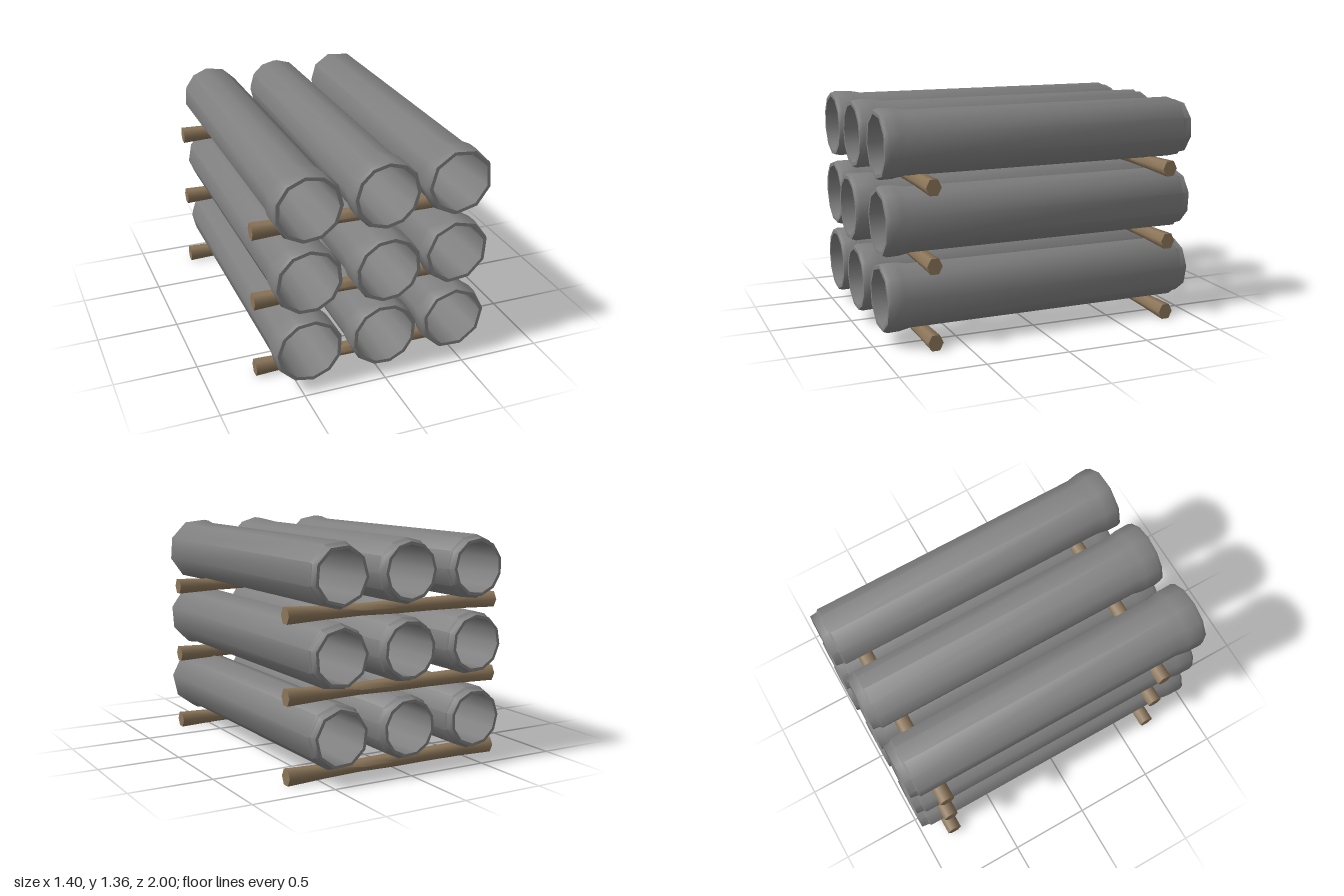
import * as THREE from 'three';
import { toCreasedNormals } from 'three/addons/utils/BufferGeometryUtils.js';

const concrete = new THREE.MeshStandardMaterial({ color: 0x808080 });
concrete.name = 'concrete grey';
const wood = new THREE.MeshStandardMaterial({ color: 0x8c765a });
wood.name = 'wood brown';

// Hollow pipe along z: flared collar at the front, narrow spigot at the back
function pipeGeometry(front, back, sides, turn) {
  const profile = [
    [0.174, front], [0.15, back], [0.168, back], [0.174, back + 0.045],
    [0.187, back + 0.055], [0.19, 0.78], [0.203, 0.85],
    [0.205, front - 0.025], [0.195, front], [0.174, front],
  ].map(([r, y]) => new THREE.Vector2(r, y));
  const geometry = new THREE.LatheGeometry(profile, sides, turn);
  geometry.rotateX(Math.PI / 2);
  return toCreasedNormals(geometry, 0.9);
}

// Rough wooden pole along x, thick at its ends and thinner between
function poleGeometry(flip) {
  const geometry = new THREE.CylinderGeometry(1, 1, 1.4, 6, 6);
  geometry.rotateZ(-Math.PI / 2);
  const heights = [0.053, 0.042, 0.036, 0.042, 0.041, 0.044, 0.053];
  const p = geometry.attributes.position;
  for (let i = 0; i < p.count; i++) {
    const x = p.getX(i);
    const step = Math.round(((x * flip + 0.7) / 1.4) * 6);
    p.setXYZ(i, x, p.getY(i) * heights[step], p.getZ(i) * 0.046);
  }
  return toCreasedNormals(geometry, 1.2);
}

export function createModel() {
  const group = new THREE.Group();
  group.name = 'pipeStack';

  const rows = [0.28, 0.725, 1.165];
  const columns = [
    { name: 'right', x: -0.455, front: 0.97, back: -0.985, sides: 11, turn: 0.1 },
    { name: 'middle', x: 0.005, front: 0.965, back: -0.985, sides: 12, turn: 0.2 },
    { name: 'left', x: 0.455, front: 0.945, back: -0.995, sides: 9, turn: 0.3 },
  ];

  rows.forEach((y, row) => {
    // Three pipes in each layer
    columns.forEach((c, column) => {
      const front = row === 1 && column === 1 ? 1 : c.front;
      const pipe = new THREE.Mesh(pipeGeometry(front, c.back, c.sides, c.turn + row * 0.15), concrete);
      pipe.name = `${c.name}Pipe${row + 1}`;
      pipe.position.set(c.x, y, 0);
      group.add(pipe);
    });

    // Two poles under each layer
    [[0.69, 1, 'front'], [-0.805, -1, 'back']].forEach(([z, flip, name]) => {
      const pole = new THREE.Mesh(poleGeometry(flip), wood);
      pole.name = `${name}Pole${row + 1}`;
      pole.position.set(0, 0.053 + row * 0.448, z);
      group.add(pole);
    });
  });

  return group;
}
